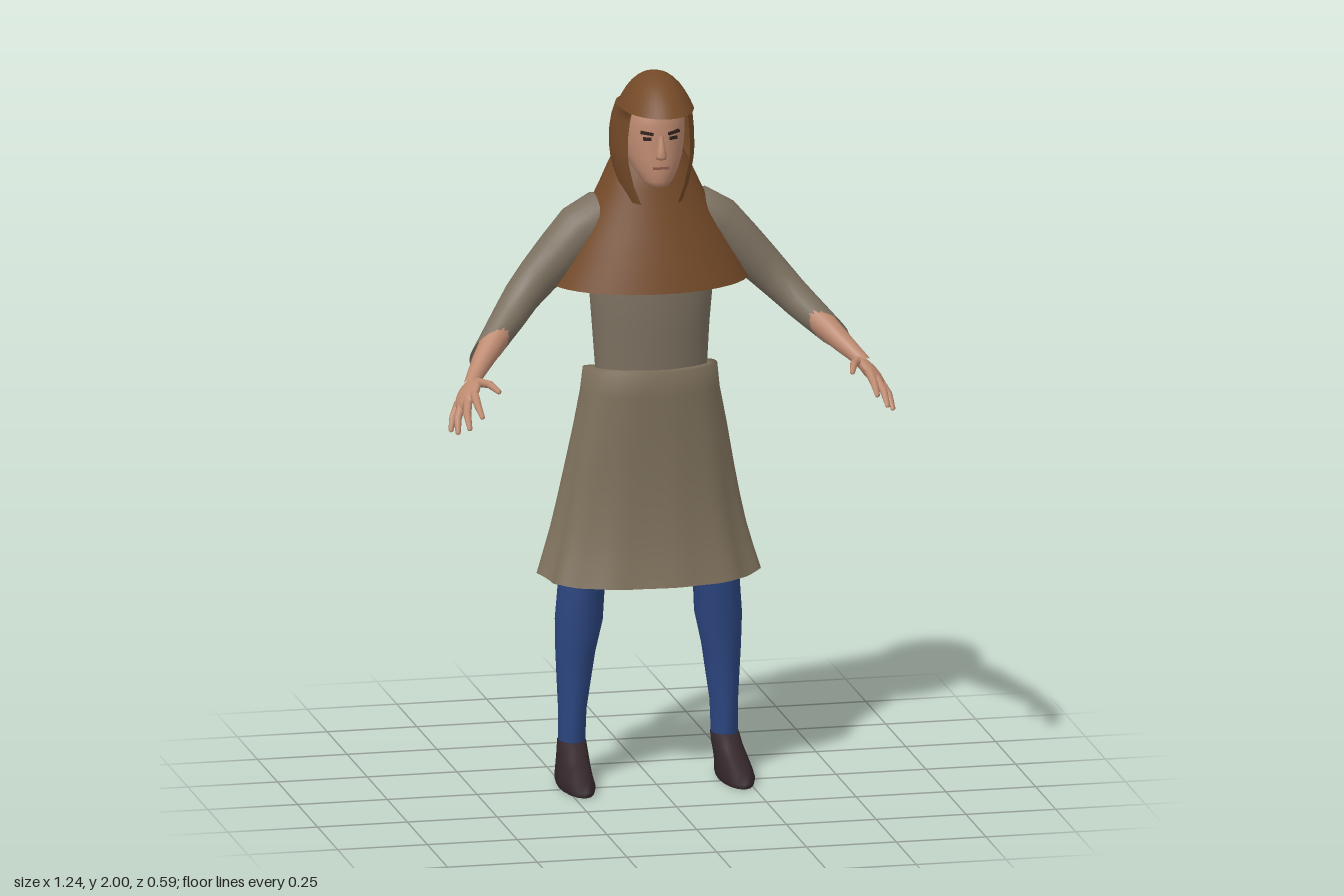
import * as THREE from 'three';

const mat = (name, color, side = THREE.FrontSide) => {
  const m = new THREE.MeshStandardMaterial({ color, side });
  m.name = name;
  return m;
};

// Horizontal oval ring: height, half width, front z, back z, centre x, opening angle
function oval([y, hw, zf, zb, xc = 0, t0 = 0], n, open = false, power = 1) {
  const pts = [], zc = (zf + zb) / 2, rz = (zf - zb) / 2;
  const bend = v => Math.sign(v) * Math.abs(v) ** power;
  for (let i = 0; i < n + (open ? 1 : 0); i++) {
    const t = t0 + (i / n) * (2 * Math.PI - 2 * t0);
    pts.push(new THREE.Vector3(xc + hw * bend(Math.sin(t)), y, zc + rz * bend(Math.cos(t))));
  }
  return pts;
}

// Skin a surface over equal-length rings listed from bottom to top
function loft(rings, open = false) {
  const n = rings[0].length, index = [];
  for (let r = 0; r < rings.length - 1; r++) {
    for (let i = 0; i < (open ? n - 1 : n); i++) {
      const j = (i + 1) % n, a = r * n + i, b = r * n + j;
      index.push(a, b, b + n, a, b + n, a + n);
    }
  }
  const g = new THREE.BufferGeometry().setFromPoints(rings.flat());
  g.setIndex(index);
  g.computeVertexNormals();
  return g;
}

// Tapered limb through points [x, y, z, radius], optionally with a slanted last ring
function limb(path, side, n = 14, slant = null) {
  const c = path.map(p => new THREE.Vector3(p[0] * side, p[1], p[2]));
  const rings = c.map((p, k) => {
    const T = c[Math.min(k + 1, c.length - 1)].clone().sub(c[Math.max(k - 1, 0)]).normalize();
    const U = new THREE.Vector3(0, 1, 0).cross(T).normalize();
    const V = T.clone().cross(U);
    return Array.from({ length: n }, (_, i) => {
      const t = (i / n) * 2 * Math.PI;
      const d = U.clone().multiplyScalar(Math.cos(t)).addScaledVector(V, Math.sin(t)).multiplyScalar(path[k][3]);
      const q = p.clone().add(d);
      if (slant && k === c.length - 1) q.addScaledVector(T, d.dot(slant));
      return q;
    });
  });
  return loft(rings);
}

export function createModel() {
  const model = new THREE.Group();
  model.name = 'hoodedFigure';
  const D = THREE.DoubleSide;
  const leather = mat('hoodBrown', 0x744a28, D);
  const cloth = mat('tunicGrey', 0x7b7060, D);
  const skirtCloth = mat('skirtTan', 0x7f725d, D);
  const blue = mat('hoseBlue', 0x2c4680);
  const shoe = mat('shoeBrown', 0x33262a);
  const skin = mat('skin', 0xbd8a70);
  const dark = mat('browDark', 0x32221d);
  const lip = mat('lip', 0x8f5a4c);

  const add = (name, geometry, material, parent = model) => {
    const m = new THREE.Mesh(geometry, material);
    m.name = name;
    parent.add(m);
    return m;
  };
  const ovals = (specs, n = 32) => loft(specs.map(s => oval(s, n)));

  // Torso
  add('torso', ovals([
    [1.0, 0.15, 0.03, -0.17], [1.17, 0.155, 0.035, -0.175], [1.28, 0.162, 0.04, -0.19],
    [1.4, 0.172, 0.042, -0.185], [1.52, 0.165, 0.03, -0.185], [1.6, 0.1, 0, -0.17], [1.64, 0.05, -0.02, -0.14],
  ]), cloth);

  // Skirt: folds deepen toward the hem and the back, and the waistband dips behind
  const skirtRings = [
    [0.565, 0.298, 0.06, -0.25], [0.63, 0.28, 0.048, -0.25], [0.7, 0.262, 0.04, -0.248],
    [0.78, 0.246, 0.036, -0.242], [0.87, 0.23, 0.035, -0.23], [1.0, 0.208, 0.04, -0.212],
    [1.1, 0.19, 0.048, -0.222], [1.17, 0.183, 0.05, -0.215], [1.172, 0.152, 0.03, -0.17],
  ].map(s => oval(s, 96, false, 0.85).map((p, i) => {
    const t = (i / 96) * 2 * Math.PI, d = Math.max(0, (1.17 - s[0]) / 0.61);
    const back = 0.5 - 0.5 * Math.cos(t);
    const f = 1 + d * (0.015 + 0.05 * back) * Math.sin(11 * t + 0.8 * Math.sin(3 * t));
    p.x *= f;
    p.z = -0.09 + (p.z + 0.09) * f;
    p.y += d * back * (0.025 + 0.012 * Math.sin(11 * t)) - 0.04 * (1 - d) * back ** 2;
    return p;
  }));
  add('skirt', loft(skirtRings), skirtCloth);

  // Shoulder cape
  add('cape', ovals([
    [1.4, 0.275, 0.095, -0.295], [1.48, 0.236, 0.072, -0.268], [1.55, 0.2, 0.05, -0.245],
    [1.62, 0.162, 0.028, -0.22], [1.67, 0.138, 0.015, -0.205], [1.72, 0.115, 0, -0.194], [1.76, 0.095, -0.02, -0.175],
  ], 40), leather);

  // Hood: shell open around the face, closed cap with a brim
  add('hoodSides', loft([
    [1.64, 0.075, 0.06, -0.1, 0, 0.75], [1.69, 0.1, 0.065, -0.168, 0, 0.78],
    [1.75, 0.112, 0.076, -0.192, 0, 0.85], [1.78, 0.115, 0.076, -0.199, 0, 0.85],
    [1.83, 0.114, 0.076, -0.2, 0, 0.85], [1.87, 0.109, 0.078, -0.19, 0, 0.85],
    [1.904, 0.101, 0.08, -0.172, 0, 0.85], [1.905, 0.1, 0.15, -0.17, 0, 0.85],
  ].map(s => oval(s, 40, true)), true), leather);
  add('hoodCap', ovals([
    [1.905, 0.1, 0.15, -0.17], [1.925, 0.091, 0.13, -0.155], [1.945, 0.08, 0.11, -0.137],
    [1.965, 0.066, 0.085, -0.113], [1.98, 0.051, 0.06, -0.09], [1.99, 0.037, 0.038, -0.068],
    [1.997, 0.02, 0.012, -0.042], [2.0, 0, -0.015, -0.015],
  ], 40), leather);

  // Head and face
  const head = new THREE.Group();
  head.name = 'head';
  model.add(head);
  add('skull', ovals([
    [1.688, 0, 0.03, 0.03], [1.69, 0.026, 0.05, 0], [1.705, 0.044, 0.059, -0.05], [1.735, 0.063, 0.061, -0.1],
    [1.77, 0.077, 0.06, -0.13], [1.81, 0.084, 0.056, -0.145], [1.86, 0.086, 0.056, -0.15],
    [1.91, 0.08, 0.045, -0.14], [1.95, 0.05, 0.01, -0.1], [1.96, 0, -0.04, -0.04],
  ]), skin, head);
  add('neck', ovals([[1.56, 0.065, 0.0, -0.13], [1.64, 0.055, 0.0, -0.11], [1.73, 0.055, 0.02, -0.11]], 20), skin, head);
  add('nose', ovals([
    [1.768, 0, 0.055, 0.055], [1.771, 0.014, 0.073, 0.04], [1.78, 0.016, 0.079, 0.04],
    [1.8, 0.011, 0.071, 0.04], [1.835, 0.008, 0.06, 0.04],
  ], 12), skin, head);
  for (const s of [-1, 1]) {
    const brow = add('brow', new THREE.BoxGeometry(0.036, 0.008, 0.008), dark, head);
    brow.position.set(0.037 * s, 1.842, 0.047);
    brow.rotation.set(0, 0.42 * s, 0.12 * s);
    const eye = add('eye', new THREE.BoxGeometry(0.024, 0.009, 0.006), dark, head);
    eye.position.set(0.036 * s, 1.826, 0.046);
    eye.rotation.y = 0.42 * s;
  }
  add('mouth', new THREE.BoxGeometry(0.044, 0.007, 0.008), lip, head).position.set(0, 1.745, 0.057);

  for (const s of [1, -1]) {
    const side = s > 0 ? 'left' : 'right';

    // Sleeve with a slanted cuff, and the forearm inside it
    const arm = new THREE.Group();
    arm.name = side + 'Arm';
    model.add(arm);
    add('sleeve', limb([
      [0.08, 1.58, -0.1, 0.06], [0.14, 1.575, -0.1, 0.073], [0.19, 1.545, -0.1, 0.073], [0.25, 1.485, -0.095, 0.066],
      [0.31, 1.425, -0.087, 0.058], [0.36, 1.372, -0.073, 0.051], [0.405, 1.325, -0.035, 0.046],
      [0.475, 1.258, 0.035, 0.037],
    ], s, 20, new THREE.Vector3(0.5 * s, -0.3, -1.4)), cloth, arm);
    add('forearm', limb([
      [0.37, 1.36, -0.065, 0.038], [0.405, 1.325, -0.035, 0.041], [0.46, 1.273, 0.02, 0.036],
      [0.5, 1.233, 0.065, 0.029], [0.528, 1.207, 0.105, 0.023], [0.55, 1.185, 0.14, 0.02],
    ], s, 16), skin, arm);

    // Palm and fingers
    const T = new THREE.Vector3(0.045 * s, -0.055, 0.075).normalize();
    const A = new THREE.Vector3(0.04 * s, -0.035, -0.045).normalize();
    A.addScaledVector(T, -A.dot(T)).normalize();
    const palm = new THREE.SphereGeometry(1, 18, 12).scale(0.042, 0.018, 0.058);
    palm.applyMatrix4(new THREE.Matrix4().makeBasis(A, T.clone().cross(A), T).setPosition(0.56 * s, 1.168, 0.156));
    add('palm', palm, skin, arm);
    [
      ['thumb', [0.53, 1.195, 0.14], [0.507, 1.2, 0.19], [0.492, 1.19, 0.24]],
      ['indexFinger', [0.55, 1.175, 0.185], [0.552, 1.157, 0.24], [0.55, 1.135, 0.292]],
      ['middleFinger', [0.567, 1.16, 0.185], [0.58, 1.132, 0.235], [0.582, 1.1, 0.278]],
      ['ringFinger', [0.58, 1.147, 0.17], [0.6, 1.113, 0.207], [0.606, 1.08, 0.238]],
      ['littleFinger', [0.585, 1.14, 0.148], [0.605, 1.108, 0.17], [0.615, 1.075, 0.188]],
    ].forEach(([name, a, b, c]) => add(name, limb([
      [...a, 0.013], [...b, 0.011], [...c, 0.007], [c[0], c[1] - 0.003, c[2] + 0.004, 0.0005],
    ], s, 8), skin, arm));

    // Leg and shoe
    const leg = new THREE.Group();
    leg.name = side + 'Leg';
    model.add(leg);
    add('hose', ovals([
      [0.09, 0.036, -0.062, -0.153, 0.213 * s], [0.2, 0.038, -0.055, -0.16, 0.211 * s],
      [0.28, 0.046, -0.05, -0.165, 0.207 * s], [0.36, 0.054, -0.043, -0.168, 0.203 * s],
      [0.45, 0.065, -0.03, -0.175, 0.194 * s], [0.56, 0.063, -0.018, -0.178, 0.187 * s],
      [0.75, 0.078, 0, -0.185, 0.15 * s], [0.95, 0.095, 0, -0.17, 0.1 * s],
    ], 20), blue, leg);
    add('shoe', ovals([
      [0, 0, -0.02, -0.02, 0.222 * s], [0, 0.045, 0.108, -0.155, 0.222 * s], [0, 0.045, 0.108, -0.155, 0.222 * s],
      [0.015, 0.049, 0.115, -0.162, 0.222 * s], [0.035, 0.046, 0.085, -0.162, 0.222 * s],
      [0.06, 0.043, 0.035, -0.16, 0.219 * s], [0.085, 0.041, -0.015, -0.16, 0.215 * s],
      [0.112, 0.039, -0.052, -0.16, 0.213 * s], [0.112, 0.032, -0.065, -0.15, 0.213 * s],
    ], 16), shoe, leg);
  }
  return model;
}
